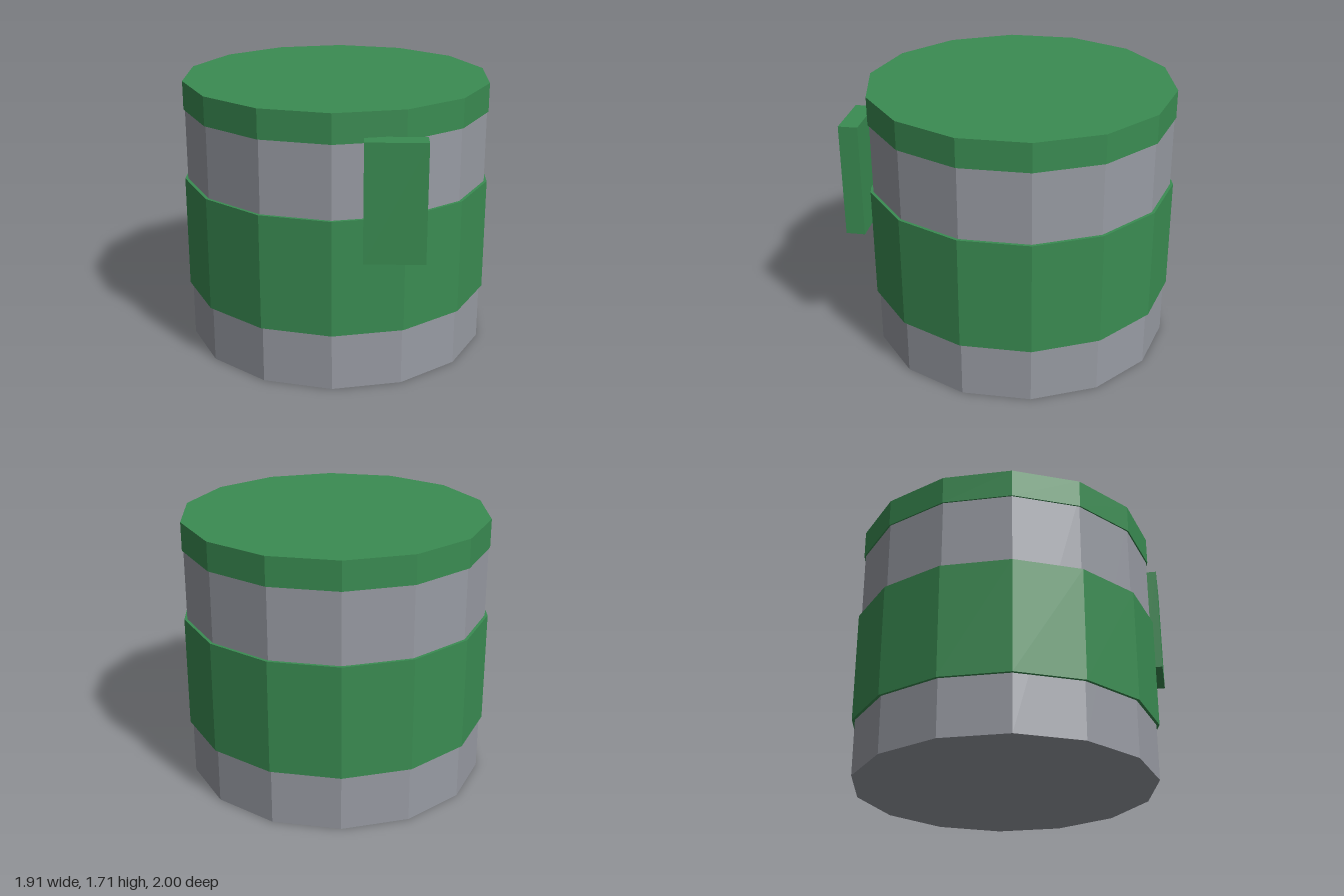
import * as THREE from 'three';

export function createModel() {
  const group = new THREE.Group();
  const green = new THREE.MeshStandardMaterial({ color: 0x3a8c52, flatShading: true });
  green.name = 'green';
  const grey = new THREE.MeshStandardMaterial({ color: 0x989ba3, flatShading: true });
  grey.name = 'grey';

  const add = (name, geometry, material, x, y, z) => {
    const mesh = new THREE.Mesh(geometry, material);
    mesh.name = name;
    mesh.position.set(x, y, z);
    group.add(mesh);
  };

  // Fourteen-sided drum sections sharing one axis, a corner facing the front
  const drum = (name, radius, bottom, top, material) =>
    add(name, new THREE.CylinderGeometry(radius, radius, top - bottom, 14),
      material, 0, (bottom + top) / 2, -0.02);

  drum('body', 0.961, 0, 1.6, grey);
  drum('band', 0.98, 0.36, 1.08, green);
  drum('lid', 0.97, 1.53, 1.71, green);

  // Upright latch, set off centre on the front
  add('latch', new THREE.BoxGeometry(0.36, 0.72, 0.12), green, 0.36, 1.2, 0.94);

  return group;
}
